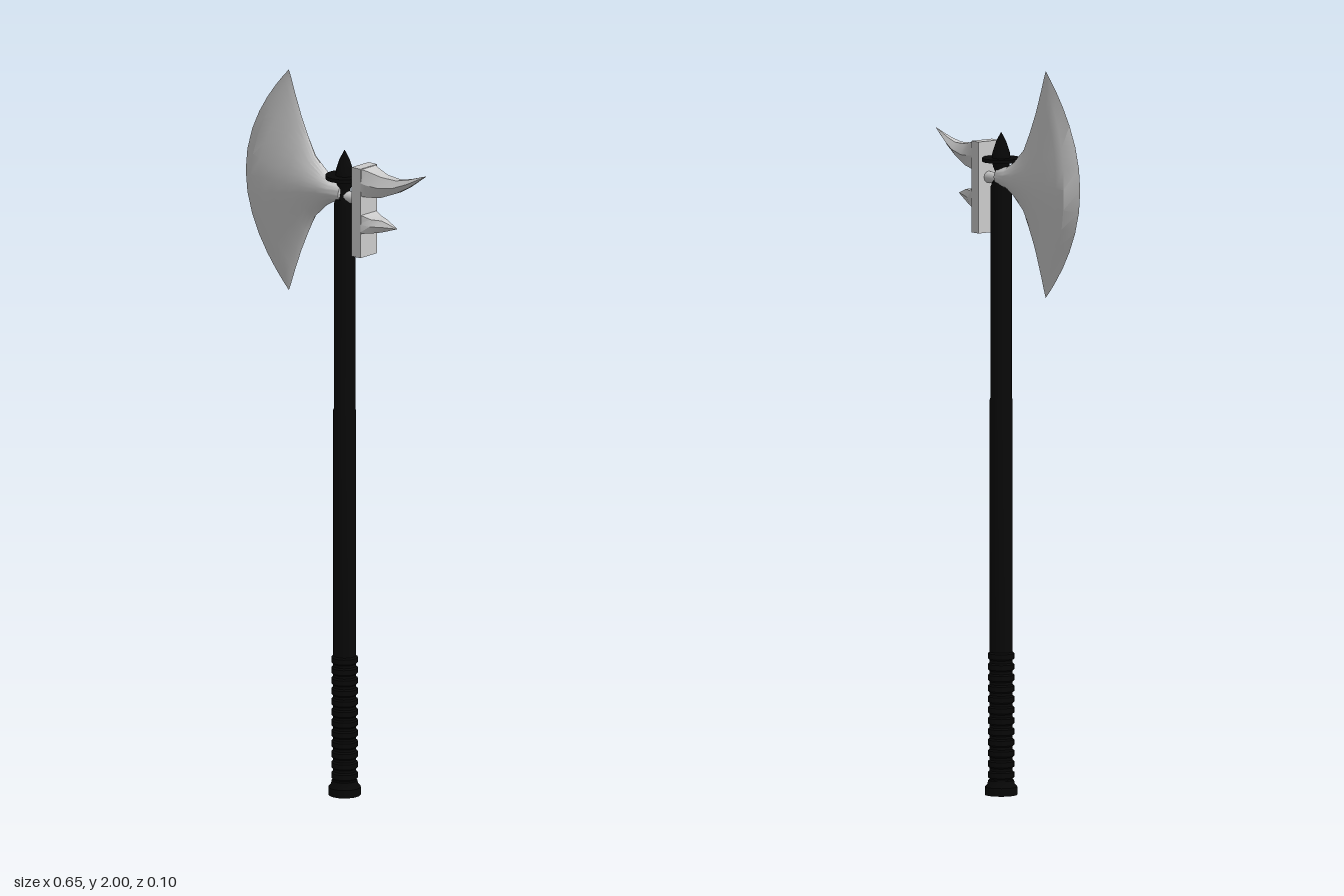
import * as THREE from 'three';
import { toCreasedNormals } from 'three/addons/utils/BufferGeometryUtils.js';

const steel = new THREE.MeshStandardMaterial({ color: 0xcccccc });
steel.name = 'pale steel';
const black = new THREE.MeshStandardMaterial({ color: 0x070707 });
black.name = 'black';

const AXIS = 0.031; // x of the shaft
const MID = 1.69; // height of the blade centre

// Skins closed rings of equal length and caps both ends;
// each ring turns counter-clockwise about the direction of travel
function loft(rings) {
  const n = rings[0].length;
  const pos = rings.flat(2);
  const index = [];
  for (let i = 0; i < rings.length - 1; i++) {
    for (let j = 0; j < n; j++) {
      const a = i * n + j, b = i * n + (j + 1) % n;
      index.push(a, b, a + n, b, b + n, a + n);
    }
  }
  const last = (rings.length - 1) * n;
  for (let j = 1; j < n - 1; j++) {
    index.push(0, j + 1, j, last, last + j, last + j + 1);
  }
  const g = new THREE.BufferGeometry();
  g.setAttribute('position', new THREE.Float32BufferAttribute(pos, 3));
  g.setIndex(index);
  return g;
}

// Crescent blade: sections run from the neck to the cutting edge
function bladeGeometry() {
  // tip x, half height, bow of the section, half thickness, roundness exponent
  const stations = [
    [0.03, 0.025, 0, 0.026, 0.5],
    [-0.005, 0.03, 0.005, 0.028, 0.5],
    [-0.035, 0.047, 0.015, 0.029, 0.5],
    [-0.075, 0.085, 0.035, 0.03, 0.55],
    [-0.1, 0.135, 0.055, 0.031, 0.62],
    [-0.125, 0.19, 0.08, 0.031, 0.7],
    [-0.148, 0.25, 0.105, 0.029, 0.78],
    [-0.162, 0.29, 0.122, 0.026, 0.85],
    [-0.17, 0.31, 0.155, 0.0005, 1],
  ];
  const steps = 32;
  const rings = stations.map(([x, h, bow, t, e]) => {
    const ring = [];
    for (let j = 0; j < steps; j++) {
      const a = (j / steps) * Math.PI * 2;
      const v = Math.cos(a), s = Math.sin(a);
      const z = Math.sign(s) * t * Math.pow(Math.max(0, 1 - Math.abs(v) ** (1 / e)), e);
      ring.push([x - bow * (1 - v * v), MID + h * v, Math.abs(s) < 1e-6 ? 0 : z]);
    }
    return ring.reverse();
  });
  return toCreasedNormals(loft(rings), 0.42);
}

// Spike with hexagonal sections: x, bottom y, top y, half width, flat share
function spikeGeometry(stations) {
  const rings = stations.map(([x, lo, hi, w, flat]) => {
    const m = (lo + hi) / 2;
    return [
      [x, hi, -w * flat], [x, hi, w * flat], [x, m, w],
      [x, lo, w * flat], [x, lo, -w * flat], [x, m, -w],
    ];
  });
  return toCreasedNormals(loft(rings), 0.3);
}

export function createModel() {
  const group = new THREE.Group();
  const add = (name, geometry, material, x = 0, y = 0) => {
    const mesh = new THREE.Mesh(geometry, material);
    mesh.name = name;
    mesh.position.set(x, y, 0);
    group.add(mesh);
    return mesh;
  };
  const lathe = (name, points, sides = 20) => {
    const g = new THREE.LatheGeometry(points.map(p => new THREE.Vector2(...p)), sides);
    add(name, toCreasedNormals(g, 0.6), black, AXIS);
  };

  // Long shaft with a collared butt
  lathe('shaft', [
    [0, 0.02], [0.031, 0.02], [0.031, 1.08], [0.029, 1.085], [0.029, 1.66], [0.024, 1.675], [0, 1.675],
  ]);
  lathe('pommel', [
    [0, 0], [0.044, 0], [0.044, 0.022], [0.037, 0.03], [0.035, 0.04], [0, 0.04],
  ]);

  // Ribbed grip
  const ribs = 12;
  for (let i = 0; i < ribs; i++) {
    const y = 0.055 + i * 0.0295;
    lathe('gripRib', [
      [0.03, y - 0.012], [0.036, y - 0.007], [0.036, y + 0.007], [0.03, y + 0.012],
    ]);
  }

  // Pinched neck and pointed finial with a thin round guard
  lathe('finial', [
    [0.026, 1.668], [0.018, 1.685], [0.015, 1.7], [0.022, 1.717],
    [0.026, 1.735], [0.024, 1.755], [0.014, 1.785], [0, 1.812],
  ], 12);
  add('guardDisc', new THREE.CylinderGeometry(0.052, 0.052, 0.01, 20), black, AXIS, 1.736);

  add('blade', bladeGeometry(), steel);

  // Back plate and the pin that joins it to the shaft
  const pin = add('platePin', new THREE.CylinderGeometry(0.016, 0.016, 0.07, 12), steel, 0.06, 1.682);
  pin.rotation.z = Math.PI / 2;
  add('backPlate', new THREE.BoxGeometry(0.031, 0.25, 0.069), steel, 0.1025, 1.655);

  // Upswept upper spike and short lower spike
  add('upperSpike', spikeGeometry([
    [0.11, 1.703, 1.78, 0.034, 0.95],
    [0.135, 1.701, 1.774, 0.033, 0.7],
    [0.175, 1.706, 1.764, 0.028, 0.55],
    [0.225, 1.726, 1.762, 0.023, 0.45],
    [0.265, 1.748, 1.771, 0.014, 0.4],
    [0.325, 1.79, 1.791, 0.0005, 0.5],
  ]), steel);
  add('lowerSpike', spikeGeometry([
    [0.11, 1.597, 1.652, 0.034, 1],
    [0.145, 1.602, 1.641, 0.029, 0.8],
    [0.175, 1.608, 1.64, 0.019, 0.6],
    [0.22, 1.623, 1.624, 0.0005, 0.5],
  ]), steel);

  return group;
}
